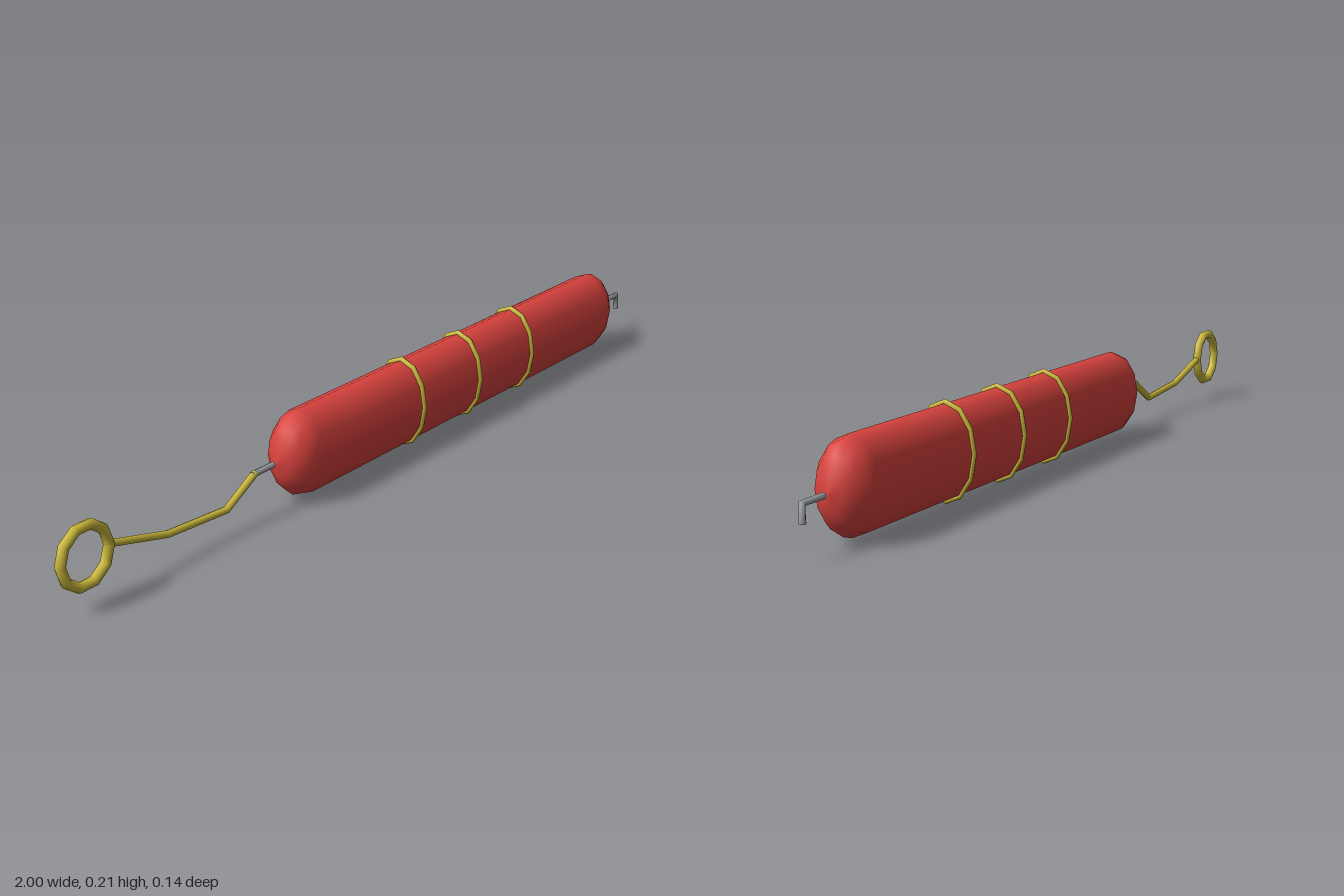
import * as THREE from 'three';

const CY = 0.107; // height of the long axis

// Polyline that keeps its corners when swept as a tube
class Polyline extends THREE.Curve {
  constructor(points) {
    super();
    this.points = points.map(([x, y]) => new THREE.Vector3(x, y, 0));
  }
  getPoint(t, target = new THREE.Vector3()) {
    const n = this.points.length - 1;
    const i = Math.min(Math.floor(t * n), n - 1);
    return target.lerpVectors(this.points[i], this.points[i + 1], t * n - i);
  }
  getPointAt(t, target) { return this.getPoint(t, target); }
  getTangentAt(t, target) { return this.getTangent(t, target); }
}

export function createModel() {
  const model = new THREE.Group();
  model.name = 'rescueFloat';
  const red = new THREE.MeshStandardMaterial({ name: 'red foam', color: 0xd9433e });
  const yellow = new THREE.MeshStandardMaterial({ name: 'yellow webbing', color: 0xccb93c });
  const grey = new THREE.MeshStandardMaterial({ name: 'grey metal', color: 0x9a9da1 });

  function add(name, geometry, material, parent = model) {
    const mesh = new THREE.Mesh(geometry, material);
    mesh.name = name;
    parent.add(mesh);
    return mesh;
  }

  // Bent rod with closed ends
  function addRod(name, points, radius, material) {
    const group = new THREE.Group();
    group.name = name;
    model.add(group);
    const path = new Polyline(points);
    add(name + 'Length', new THREE.TubeGeometry(path, points.length - 1, radius, 8), material, group);
    for (const t of [0, 1]) {
      const cap = add(name + 'End', new THREE.CircleGeometry(radius, 8), material, group);
      cap.position.copy(path.getPoint(t));
      const out = path.getTangent(t).multiplyScalar(t ? 1 : -1);
      cap.quaternion.setFromUnitVectors(new THREE.Vector3(0, 0, 1), out);
    }
  }

  // Foam body: rounded bar, flattened front to back
  const profile = [];
  const R = 0.098, capLength = 0.077, x0 = -0.305, x1 = 0.83, steps = 4;
  for (let i = 0; i <= steps; i++) {
    const a = (i / steps) * Math.PI / 2;
    profile.push(new THREE.Vector2(R * Math.sin(a), x0 - capLength * Math.cos(a)));
  }
  for (let i = steps; i >= 0; i--) {
    const a = (i / steps) * Math.PI / 2;
    profile.push(new THREE.Vector2(R * Math.sin(a), x1 + capLength * Math.cos(a)));
  }
  const bodyGeometry = new THREE.LatheGeometry(profile, 12);
  bodyGeometry.rotateZ(-Math.PI / 2);
  bodyGeometry.scale(1, 1, 0.64);
  add('foamBody', bodyGeometry, red).position.y = CY;

  // Three straps around the body
  for (const x of [0.047, 0.266, 0.485]) {
    const strap = new THREE.TorusGeometry(0.1, 0.0065, 8, 12);
    strap.rotateY(Math.PI / 2);
    strap.scale(1, 1, 0.65);
    add('strap', strap, yellow).position.set(x, CY, 0);
  }

  // Tow line and its hand ring
  addRod('towLine', [[-0.45, 0.109], [-0.54, 0.059], [-0.71, 0.071], [-0.86, 0.111]], 0.008, yellow);
  add('handRing', new THREE.TorusGeometry(0.062, 0.011, 8, 10), yellow).position.set(-0.926, 0.111, 0);

  // Metal fittings at both ends
  addRod('linePin', [[-0.46, 0.107], [-0.395, 0.107]], 0.007, grey);
  addRod('endHook', [[0.924, 0.107], [0.99, 0.107], [0.99, 0.07]], 0.007, grey);

  return model;
}
